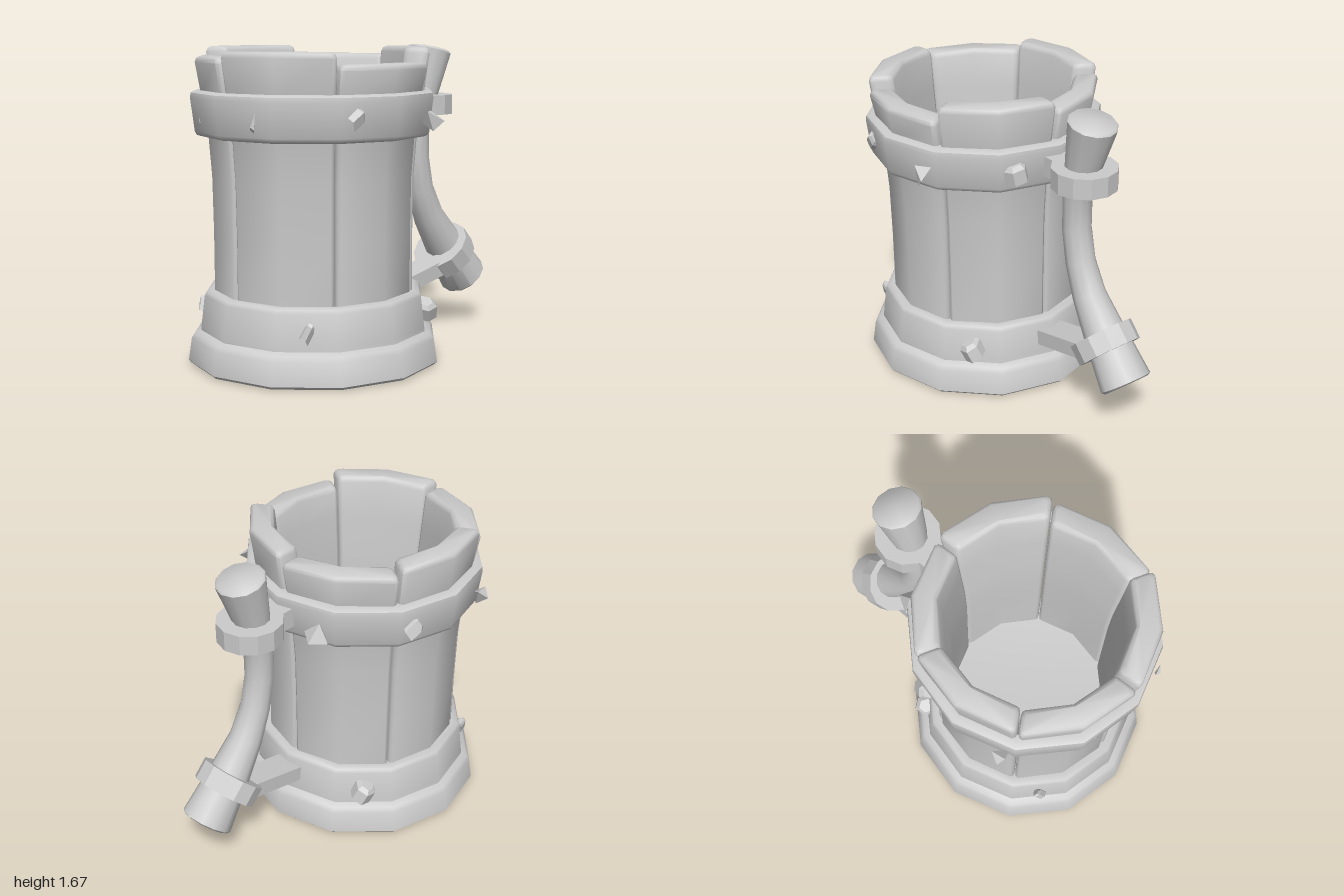
import * as THREE from 'three';
import { toCreasedNormals } from 'three/addons/utils/BufferGeometryUtils.js';

const material = new THREE.MeshStandardMaterial({ color: 0xcccccc });
const CREASE = 0.85;
const DEG = Math.PI / 180;

function part(name, geometry, crease = CREASE) {
  const mesh = new THREE.Mesh(toCreasedNormals(geometry, crease), material);
  mesh.name = name;
  return mesh;
}

// Skin a stack of equal-length closed rings and cap both ends
function loft(rings) {
  const n = rings[0].length, last = rings.length - 1;
  const center = (ring) => ring.reduce((s, p) => s.add(p), new THREE.Vector3()).divideScalar(n);
  const points = [...rings.flat(), center(rings[0]), center(rings[last])];
  const bottom = n * rings.length, top = bottom + 1;
  const index = [];
  for (let j = 0; j < n; j++) {
    const k = (j + 1) % n;
    for (let i = 0; i < last; i++) {
      const a = i * n + j, b = i * n + k;
      index.push(a, b, b + n, a, b + n, a + n);
    }
    index.push(bottom, k, j, top, last * n + j, last * n + k);
  }
  const g = new THREE.BufferGeometry().setFromPoints(points);
  g.setIndex(index);
  g.computeVertexNormals();
  return g;
}

function lathe(name, profile) {
  return part(name, new THREE.LatheGeometry(profile.map(([r, y]) => new THREE.Vector2(r, y)), 12));
}

// One plank: a bent 60 degree section, flared at the top, with rounded edges
function stave(height) {
  const levels = [
    [0.3, 0.535, 0.43], [0.7, 0.535, 0.43], [1.0, 0.54, 0.43], [1.2, 0.555, 0.44],
    [1.42, 0.59, 0.465], [height - 0.03, 0.62, 0.485],
    [height - 0.009, 0.613, 0.493], [height, 0.596, 0.511],
  ];
  const rings = levels.map(([y, ro, ri], i) => {
    const trim = [0, 0.8, 2.5][Math.max(0, i - 5)];
    const e = 29.7 - trim, c = 29.1 - trim, f = 27.4 - trim;
    const section = [
      [-e, ro - 0.03], [-c, ro - 0.009], [-f, ro], [0, ro], [f, ro], [c, ro - 0.009], [e, ro - 0.03],
      [e, ri + 0.03], [c, ri + 0.009], [f, ri], [0, ri], [-f, ri], [-c, ri + 0.009], [-e, ri + 0.03],
    ];
    return section.map(([a, r]) => new THREE.Vector3(r * Math.sin(a * DEG), y, r * Math.cos(a * DEG)));
  });
  return loft(rings);
}

// Place a part whose own +y points outward at an angle round the mug
function aroundMug(mesh, angle, radius, y) {
  const a = angle * DEG;
  const out = new THREE.Vector3(Math.cos(a), 0, Math.sin(a));
  const side = new THREE.Vector3(-out.z, 0, out.x);
  const up = new THREE.Vector3(0, 1, 0);
  mesh.quaternion.setFromRotationMatrix(new THREE.Matrix4().makeBasis(up, out, side.negate().negate()));
  mesh.position.set(out.x * radius, y, out.z * radius);
  return mesh;
}

function hexStud(name) {
  const profile = [[0.072, -0.05], [0.072, 0.028], [0.048, 0.05], [0, 0.05]];
  return part(name, new THREE.LatheGeometry(profile.map(([r, y]) => new THREE.Vector2(r, y)), 6), 0.3);
}

// Handle grip: path x, y and radius, from the lower end to the upper end
function grip() {
  const path = [
    [0.885, 0.27, 0.125], [0.877, 0.279, 0.14], [0.7, 0.5, 0.112], [0.575, 0.67, 0.09],
    [0.5, 0.84, 0.08], [0.465, 1.02, 0.078], [0.465, 1.2, 0.078], [0.5, 1.37, 0.095],
    [0.566, 1.63, 0.13], [0.569, 1.642, 0.118],
  ];
  const rings = path.map(([x, y, r], i) => {
    const p = path[Math.max(0, i - 1)], q = path[Math.min(path.length - 1, i + 1)];
    const t = new THREE.Vector2(q[0] - p[0], q[1] - p[1]).normalize();
    return Array.from({ length: 12 }, (_, j) => {
      const a = j / 12 * Math.PI * 2, s = r * Math.sin(a);
      return new THREE.Vector3(x + t.y * s, y - t.x * s, r * Math.cos(a));
    });
  });
  return loft(rings);
}

// Handle collar with the strap that joins it to the mug
function clamp(name, x, y, tilt, from, to) {
  const g = new THREE.Group();
  g.name = name;
  const collar = part('collar', new THREE.CylinderGeometry(0.175, 0.175, 0.11, 12), 0.3);
  collar.position.set(x, y, 0);
  collar.rotation.z = tilt;
  const dx = to[0] - from[0], dy = to[1] - from[1];
  const strap = part('strap', new THREE.BoxGeometry(Math.hypot(dx, dy), 0.09, 0.17), 0.3);
  strap.position.set((from[0] + to[0]) / 2, (from[1] + to[1]) / 2, 0);
  strap.rotation.z = Math.atan2(dy, dx);
  strap.scale.y = tilt ? 0.95 : 1.2;
  g.add(collar, strap);
  return g;
}

export function createModel() {
  const model = new THREE.Group();
  model.name = 'tankard';
  const mug = new THREE.Group();
  mug.name = 'mug';
  mug.position.x = -0.32;
  model.add(mug);

  // Stepped base with the floor of the mug
  mug.add(lathe('base', [
    [0, 0], [0.665, 0.005], [0.68, 0.02], [0.662, 0.14], [0.645, 0.165], [0.612, 0.18],
    [0.61, 0.2], [0.59, 0.365], [0.58, 0.385], [0.55, 0.395], [0.5, 0.385], [0, 0.385],
  ]));

  // Six planks of uneven height, starting at the front and going towards +x
  [1.59, 1.665, 1.62, 1.665, 1.62, 1.65].forEach((h, i) => {
    const plank = part('stave', stave(h));
    plank.rotation.y = i * 60 * DEG;
    mug.add(plank);
  });

  // Upper hoop
  mug.add(lathe('hoop', [
    [0.54, 1.21], [0.6, 1.21], [0.618, 1.217], [0.626, 1.235], [0.648, 1.41],
    [0.644, 1.434], [0.625, 1.445], [0.57, 1.445],
  ]));

  // Alternating studs and spikes on the hoop, plain studs on the base
  for (let i = 0; i < 4; i++) {
    mug.add(aroundMug(hexStud('hoopStud'), 22.5 + i * 90, 0.605, 1.32));
    const spike = part('hoopSpike', new THREE.ConeGeometry(0.075, 0.09, 4), 0.3);
    mug.add(aroundMug(spike, 67.5 + i * 90, 0.655, 1.32));
    mug.add(aroundMug(hexStud('baseStud'), 45 + i * 90, 0.595, 0.27));
  }

  // Handle on the model's left
  model.add(part('grip', grip()));
  model.add(clamp('upperClamp', 0.515, 1.33, 0, [0.24, 1.33], [0.45, 1.33]));
  model.add(clamp('lowerClamp', 0.712, 0.445, 43 * DEG, [0.23, 0.28], [0.64, 0.37]));
  return model;
}
